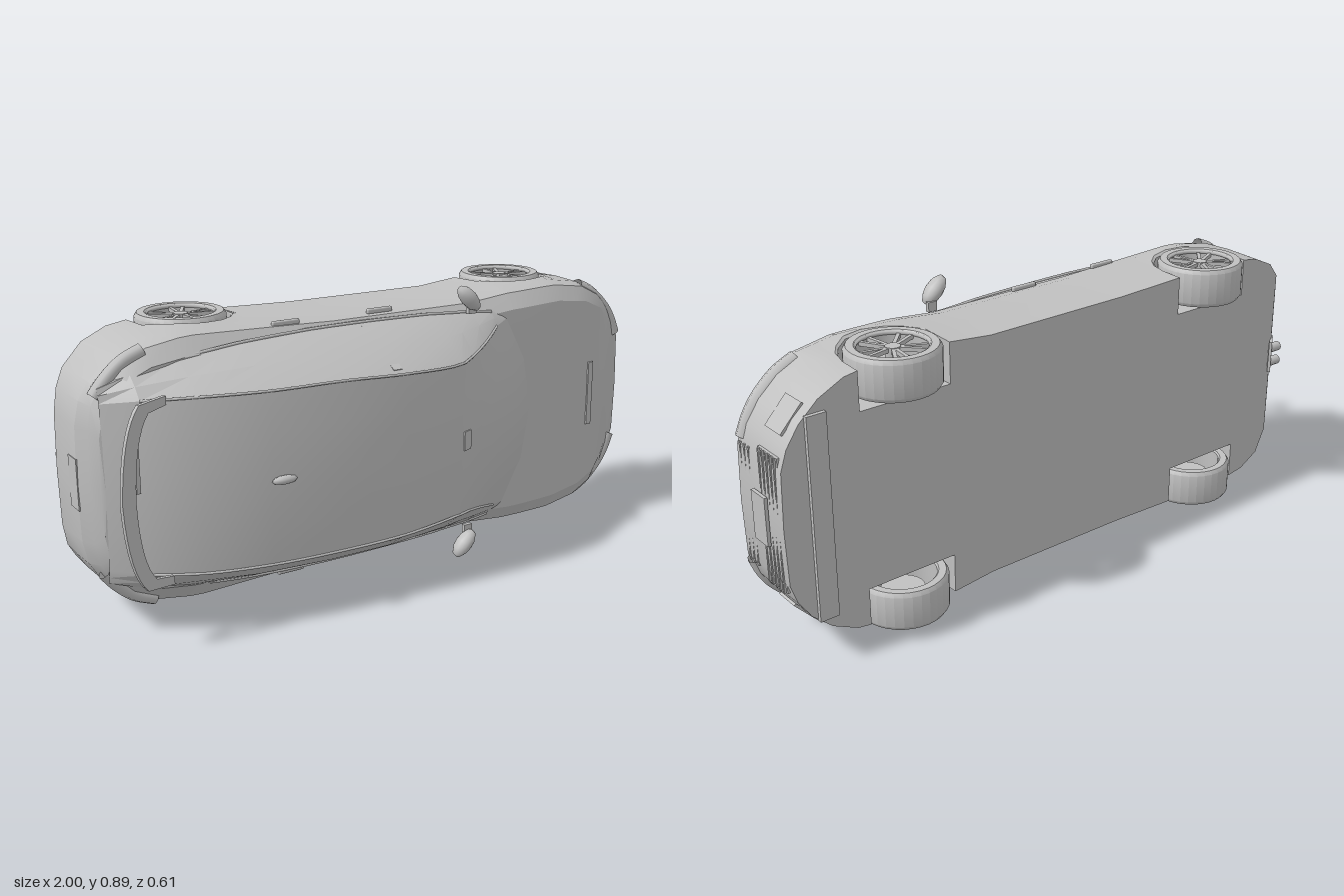
import * as THREE from 'three';
import { toCreasedNormals } from 'three/addons/utils/BufferGeometryUtils.js';
import { RoundedBoxGeometry } from 'three/addons/geometries/RoundedBoxGeometry.js';

// Car space: x forward, y up, z sideways. The finished car is laid on its side.
const grey = new THREE.MeshStandardMaterial({ color: 0xc0c0c0, side: THREE.DoubleSide });
grey.name = 'grey';

function add(parent, name, geometry, x = 0, y = 0, z = 0) {
  const mesh = new THREE.Mesh(geometry, grey);
  mesh.name = name;
  mesh.position.set(x, y, z);
  parent.add(mesh);
  return mesh;
}

const box = (x, y, z) => new THREE.BoxGeometry(x, y, z);

// Linear interpolation in a table of [x, value] rows
function sample(table, x) {
  for (let i = 1; i < table.length; i++) {
    if (x <= table[i][0]) {
      const [x0, v0] = table[i - 1], [x1, v1] = table[i];
      return v0 + (v1 - v0) * Math.max(0, (x - x0) / (x1 - x0));
    }
  }
  return table[table.length - 1][1];
}

// Skin over half sections (lists of [x, y, z]), each mirrored to a closed ring
function loft(halves, crease) {
  const rings = halves.map(h => [...h, ...h.slice().reverse().map(([x, y, z]) => [x, y, -z])]);
  const n = rings[0].length, index = [];
  for (let i = 0; i < rings.length - 1; i++) {
    for (let j = 0; j < n; j++) {
      const k = (j + 1) % n;
      const a = i * n + j, b = i * n + k, c = b + n, d = a + n;
      index.push(a, d, c, a, c, b);
    }
  }
  const g = new THREE.BufferGeometry();
  g.setAttribute('position', new THREE.Float32BufferAttribute(rings.flat(2), 3));
  g.setIndex(index);
  return toCreasedNormals(g, crease);
}

const WHEEL_X = [-0.59, 0.59], WHEEL_Y = -0.17, ARCH = 0.147;
const halfWidth = [[-1, 0], [-0.995, 0.17], [-0.98, 0.24], [-0.95, 0.29], [-0.88, 0.35], [-0.8, 0.385], [-0.68, 0.405],
  [-0.45, 0.397], [-0.2, 0.388], [0.3, 0.385], [0.45, 0.4], [0.65, 0.405], [0.78, 0.385], [0.86, 0.345],
  [0.92, 0.29], [0.96, 0.23], [0.98, 0.17], [0.985, 0]];
const deckTop = [[-1, 0.09], [-0.9, 0.105], [-0.5, 0.1], [0.5, 0.095], [0.85, 0.06], [0.95, 0.035], [0.985, 0.02]];
const floorLine = [[-1, -0.15], [-0.95, -0.19], [-0.86, -0.225], [1, -0.225]];

function bodySection(x, wheel) {
  const w = sample(halfWidth, x), top = sample(deckTop, x), floor = sample(floorLine, x);
  const sill = wheel === undefined ? floor
    : WHEEL_Y + Math.sqrt(Math.max(0, ARCH ** 2 - (x - wheel) ** 2));
  const pan = wheel === undefined ? w * 0.985 : 0.27;
  const end = Math.max(0, Math.abs(x) - 0.85) / 0.15 * -Math.sign(x);
  return [
    [x, floor, 0], [x, floor, pan], [x, sill, pan], [x, sill, w * 0.985],
    [x, Math.max(-0.1, sill + 0.01), w],
    [x, 0.005, w * 0.99],
    [x + end * 0.02, top * 0.55, w * 0.96],
    [x + end * 0.04, top * 0.9, w * 0.84],
    [x + end * 0.05, top, 0],
  ];
}

function buildBody() {
  const stations = halfWidth.map(r => [r[0]])
    .filter(([x]) => WHEEL_X.every(c => Math.abs(x - c) > ARCH));
  for (const c of WHEEL_X) {
    stations.push([c - ARCH]);
    for (const t of [-1, -0.93, -0.75, -0.45, 0, 0.45, 0.75, 0.93, 1]) stations.push([c + t * ARCH, c]);
    stations.push([c + ARCH]);
  }
  stations.sort((a, b) => a[0] - b[0]);
  return loft(stations.map(s => bodySection(...s)), 0.4);
}

// Cabin rows: x, half width at belt, half width at roof, roof height
const cabin = [[-0.95, 0.28, 0.24, 0.09], [-0.86, 0.31, 0.25, 0.155], [-0.72, 0.335, 0.255, 0.22],
  [-0.53, 0.355, 0.255, 0.269], [-0.3, 0.365, 0.255, 0.289], [-0.1, 0.365, 0.248, 0.301],
  [0.12, 0.36, 0.24, 0.272], [0.22, 0.355, 0.25, 0.235], [0.34, 0.35, 0.272, 0.185],
  [0.45, 0.34, 0.3, 0.13], [0.54, 0.325, 0.315, 0.085]];

function cabinSection([x, belt, roof, h]) {
  const bow = Math.min(0.09, Math.max(0, x - 0.12) * 0.28);
  const beltY = Math.min(0.085, h - 0.02);
  return [
    [x - bow, 0.03, belt], [x - bow, beltY, belt],
    [x - bow, beltY + (h - 0.012 - beltY) * 0.55, belt + (roof - belt) * 0.45],
    [x - bow, h - 0.012, roof], [x - bow * 0.3, h - 0.004, roof * 0.55], [x, h, 0],
  ];
}

function buildWheel(side) {
  const wheel = new THREE.Group();
  wheel.name = 'wheel';
  const spin = g => g.rotateX(Math.PI / 2);
  // Hollow tyre with rounded shoulders
  const profile = [[0.105, -0.06], [0.127, -0.06], [0.135, -0.048], [0.135, 0.048], [0.127, 0.06],
    [0.107, 0.06], [0.1, 0.05], [0.1, -0.055], [0.105, -0.06]].map(p => new THREE.Vector2(...p));
  add(wheel, 'tyre', toCreasedNormals(spin(new THREE.LatheGeometry(profile, 32)), 0.6));
  add(wheel, 'rim', new THREE.TorusGeometry(0.103, 0.006, 6, 32), 0, 0, side * 0.052);
  add(wheel, 'hub', spin(new THREE.CylinderGeometry(0.022, 0.022, 0.03, 16)), 0, 0, side * 0.038);
  add(wheel, 'brakeDisc', spin(new THREE.CylinderGeometry(0.065, 0.065, 0.01, 24)));
  // Five pairs of spokes
  for (let i = 0; i < 10; i++) {
    const a = Math.floor(i / 2) * Math.PI * 0.4 + (i % 2 ? 0.19 : -0.19);
    const spoke = add(wheel, 'spoke', box(0.085, 0.011, 0.012), Math.cos(a) * 0.06, Math.sin(a) * 0.06, side * 0.045);
    spoke.rotation.z = a;
  }
  return wheel;
}

// Crescent rear wing with square shoulders
function buildSpoiler() {
  const s = new THREE.Shape();
  s.moveTo(0.16, 0.27);
  s.lineTo(0.07, 0.262);
  s.quadraticCurveTo(0.01, 0.2, 0, 0);
  s.quadraticCurveTo(0.01, -0.2, 0.07, -0.262);
  s.lineTo(0.16, -0.27);
  s.lineTo(0.16, -0.245);
  s.lineTo(0.1, -0.235);
  s.quadraticCurveTo(0.05, -0.18, 0.045, 0);
  s.quadraticCurveTo(0.05, 0.18, 0.1, 0.235);
  s.lineTo(0.16, 0.245);
  return new THREE.ExtrudeGeometry(s, { depth: 0.012, bevelEnabled: false, curveSegments: 8 }).rotateX(-Math.PI / 2);
}

// Tube along a list of [x, y, z], on either side of the car
function strip(points, side, radius) {
  const path = points.map(([x, y, z]) => new THREE.Vector3(x, y, side * z));
  return new THREE.TubeGeometry(new THREE.CatmullRomCurve3(path), 24, radius, 8);
}

// Lamp half sunk into the body around a corner
const lamp = (xs, y, side, radius) =>
  strip(xs.map(x => [x - Math.sign(x) * 0.012, y, sample(halfWidth, x) - 0.012]), side, radius);

export function createModel() {
  const root = new THREE.Group();
  root.name = 'car';
  const car = new THREE.Group();
  car.name = 'carOnItsSide';
  car.rotation.x = Math.PI / 2;
  car.position.y = 0.445;
  root.add(car);

  add(car, 'body', buildBody());
  add(car, 'cabin', loft(cabin.map(cabinSection), 0.22));
  add(car, 'spoiler', buildSpoiler(), -0.965, 0.226, 0).rotation.z = -0.26;

  for (const side of [-1, 1]) {
    for (const x of WHEEL_X) {
      const wheel = buildWheel(side);
      wheel.position.set(x, WHEEL_Y, side * 0.35);
      car.add(wheel);
    }
    // Roof and belt trims follow the cabin sections
    add(car, 'roofTrim', strip(cabin.slice(1, 10).map(r => cabinSection(r)[3]), side, 0.004));
    add(car, 'beltTrim', strip(cabin.slice(2, 10).map(r => cabinSection(r)[1]), side, 0.005));
    // Swept door mirrors
    const mirror = add(car, 'mirror', new THREE.SphereGeometry(1, 10, 8), 0.238, 0.13, side * 0.404);
    mirror.scale.set(0.025, 0.031, 0.053);
    mirror.rotation.y = -side * 0.75;
    add(car, 'mirrorArm', box(0.03, 0.014, 0.03), 0.265, 0.108, side * 0.365);
    // Door handles and pillar
    add(car, 'doorHandle', new RoundedBoxGeometry(0.09, 0.014, 0.016, 2, 0.005), -0.03, 0.035, side * 0.382);
    add(car, 'doorHandle', new RoundedBoxGeometry(0.09, 0.014, 0.016, 2, 0.005), -0.36, 0.045, side * 0.385);
    add(car, 'doorPillar', box(0.03, 0.2, 0.006), -0.12, 0.186, side * 0.307).rotation.x = -side * 0.51;
    // Lamps wrap the corners
    add(car, 'headlight', lamp([0.972, 0.95, 0.92, 0.86, 0.8], 0, side, 0.026));
    add(car, 'tailLight', lamp([-0.965, -0.93, -0.88, -0.82], 0.05, side, 0.022));
    // Bumper vents
    add(car, 'bumperVent', box(0.1, 0.08, 0.008), 0.918, -0.15, side * 0.288).rotation.y = side * 0.82;
    add(car, 'exhaust', new THREE.CylinderGeometry(0.016, 0.016, 0.05, 12).rotateZ(Math.PI / 2), -0.955, -0.195, side * 0.025);
  }

  // Front grilles with slats
  add(car, 'lowerGrille', box(0.008, 0.1, 0.4), 0.974, -0.155, 0);
  for (let i = 0; i < 5; i++) add(car, 'lowerSlat', box(0.012, 0.006, 0.4), 0.978, -0.195 + i * 0.02, 0);
  for (let i = 0; i < 3; i++) add(car, 'upperSlat', box(0.014, 0.007, 0.36), 0.975, -0.055 + i * 0.022, 0);
  add(car, 'frontPlate', box(0.01, 0.07, 0.145), 0.993, -0.12, 0);
  add(car, 'frontLip', box(0.06, 0.014, 0.61), 0.873, -0.23, 0);

  // Rear plates, wiper, aerial and hood vent
  add(car, 'rearPlate', box(0.008, 0.06, 0.15), -0.996, -0.02, 0);
  add(car, 'exhaustPanel', box(0.07, 0.01, 0.11), -0.95, -0.19, 0).rotation.z = -0.68;
  add(car, 'rearWiper', box(0.012, 0.01, 0.17), -0.88, 0.148, -0.08);
  const aerial = add(car, 'aerial', new THREE.SphereGeometry(1, 10, 6), -0.5, 0.277, 0);
  aerial.scale.set(0.04, 0.016, 0.013);
  add(car, 'windscreenSensor', box(0.035, 0.01, 0.06), 0.14, 0.263, 0).rotation.z = -0.35;
  add(car, 'hoodVent', box(0.02, 0.006, 0.22), 0.81, 0.066, 0);
  return root;
}
